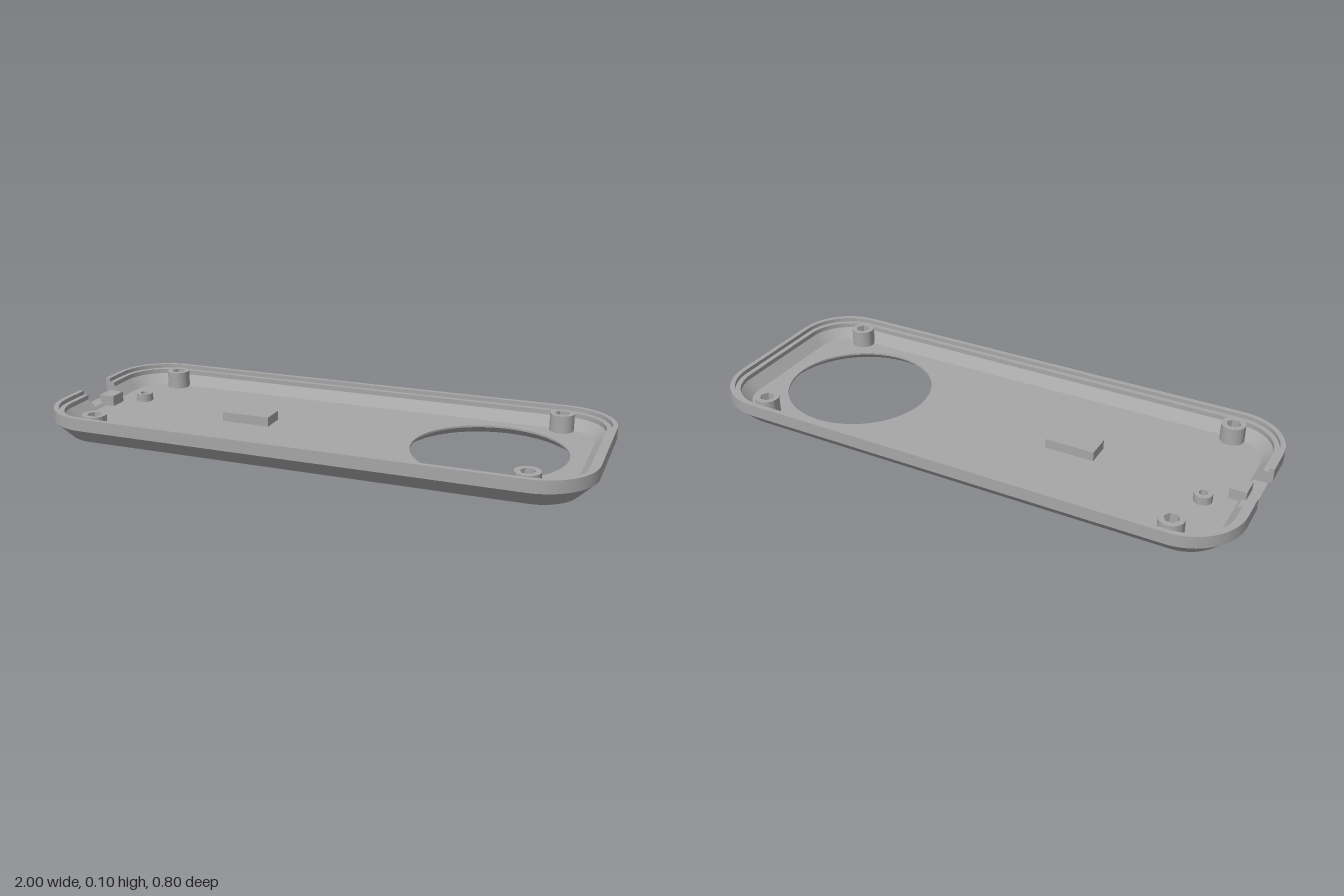
import * as THREE from 'three';
import { toCreasedNormals } from 'three/addons/utils/BufferGeometryUtils.js';

const FLOOR = 0.035, HEIGHT = 0.105, RADIUS = 0.2;
const NOTCH = { y: 0.045, z0: -0.095, z1: 0.09 };
const OPENING = { x: 0.595, z: 0 }, PIN = { x: -0.82, z: -0.09 };

// wall cross-section as [inset from the outline, y], outside to inside
const WALL = [[0.06, 0], [0, 0.06], [0, HEIGHT], [0.018, HEIGHT], [0.018, 0.09],
  [0.037, 0.09], [0.037, 0.0725], [0.0745, FLOOR]];
const SILL = [[0.06, 0], [0.015, NOTCH.y], [0.0645, NOTCH.y], [0.0745, FLOOR]];

// columns around the outline: a centre and an outward direction
const column = (cx, cz, a) => ({ cx, cz, nx: Math.cos(a), nz: Math.sin(a) });
function cornerColumns() {
  const list = [];
  [[-0.8, 0.2], [0.8, 0.2], [0.8, -0.2], [-0.8, -0.2]].forEach(([x, z], k) => {
    for (let i = 0; i <= 16; i++) list.push(column(x, z, Math.PI - (k + i / 16) * Math.PI / 2));
  });
  return list;
}
const place = (c, inset) => [c.cx + c.nx * (RADIUS - inset), c.cz + c.nz * (RADIUS - inset)];

// sweep a section along columns; each band has its own vertices so its edges stay sharp
function sweep(columns, section) {
  const pos = [], idx = [];
  for (let s = 0; s < section.length - 1; s++) {
    const base = pos.length / 3;
    columns.forEach((c, j) => {
      for (const [inset, y] of [section[s], section[s + 1]]) {
        const [x, z] = place(c, inset);
        pos.push(x, y, z);
      }
      if (j) {
        const a = base + 2 * (j - 1);
        idx.push(a, a + 2, a + 3, a, a + 3, a + 1);
      }
    });
  }
  const g = new THREE.BufferGeometry();
  g.setAttribute('position', new THREE.Float32BufferAttribute(pos, 3));
  g.setIndex(idx);
  g.computeVertexNormals();
  return g;
}

function circle(x, y, r, n) {
  return Array.from({ length: n }, (_, i) => {
    const a = i / n * Math.PI * 2;
    return new THREE.Vector2(x + r * Math.cos(a), y + r * Math.sin(a));
  });
}

// flat rounded plate with the large opening and the pin hole
function plate(inset, y, openingRadius, up) {
  const s = up ? -1 : 1;
  const shape = new THREE.Shape(cornerColumns().map(c => {
    const [x, z] = place(c, inset);
    return new THREE.Vector2(x, s * z);
  }));
  shape.holes.push(new THREE.Path(circle(OPENING.x, s * OPENING.z, openingRadius, 64)));
  shape.holes.push(new THREE.Path(circle(PIN.x, s * PIN.z, 0.015, 24)));
  return new THREE.ShapeGeometry(shape).rotateX(s * Math.PI / 2).translate(0, y, 0);
}

// upright tube standing on the floor
function tube(r, holeR, holeSides, h) {
  const shape = new THREE.Shape(circle(0, 0, r, 32));
  shape.holes.push(new THREE.Path(circle(0, 0, holeR, holeSides)));
  const g = new THREE.ExtrudeGeometry(shape, { depth: h, bevelEnabled: false });
  return toCreasedNormals(g.rotateX(-Math.PI / 2), 0.6);
}

export function createModel() {
  const model = new THREE.Group();
  const grey = new THREE.MeshStandardMaterial({ color: 0xa6a6a6, side: THREE.DoubleSide });
  grey.name = 'grey plastic';
  const add = (name, geometry, x = 0, y = 0, z = 0) => {
    const m = new THREE.Mesh(geometry, grey);
    m.name = name;
    m.position.set(x, y, z);
    model.add(m);
  };

  // rim wall, interrupted by the notch on the model's right end
  const start = column(-0.8, NOTCH.z1, Math.PI), end = column(-0.8, NOTCH.z0, Math.PI);
  add('rimWall', sweep([start, ...cornerColumns(), end], WALL));
  add('notchSill', sweep([end, start], SILL));

  // cut ends of the wall beside the notch
  const cut = [SILL[1], ...WALL.slice(1, 7), SILL[2]];
  for (const z of [NOTCH.z0, NOTCH.z1]) {
    const g = new THREE.ShapeGeometry(new THREE.Shape(cut.map(([d, y]) => new THREE.Vector2(d - 1, y))));
    if (z > 0) g.rotateY(Math.PI).scale(-1, 1, 1);
    add('notchCheek', g, 0, 0, z);
  }

  // floor and underside
  add('innerFloor', plate(0.0745, FLOOR, 0.275, true));
  add('underside', plate(0.06, 0, 0.308, false));

  // flared edge of the large opening and the bore of the pin hole
  const bore = (a, b, y0, y1, n) =>
    new THREE.CylinderGeometry(b, a, y1 - y0, n, 1, true).translate(0, (y0 + y1) / 2, 0);
  add('openingBevel', bore(0.308, 0.275, 0, 0.028, 64), OPENING.x, 0, OPENING.z);
  add('openingEdge', bore(0.275, 0.275, 0.028, FLOOR, 64), OPENING.x, 0, OPENING.z);
  add('pinBore', bore(0.015, 0.015, 0, FLOOR, 24), PIN.x, 0, PIN.z);

  // screw posts with hexagonal sockets, and the small pin guide
  for (const x of [-0.79, 0.79]) for (const z of [-0.315, 0.315]) {
    add('screwPost', tube(0.044, 0.027, 6, 0.065), x, FLOOR, z);
  }
  add('pinGuide', tube(0.032, 0.015, 24, 0.03), PIN.x, FLOOR, PIN.z);

  // blocks on the floor
  add('centreBlock', new THREE.BoxGeometry(0.185, 0.035, 0.09), -0.317, FLOOR + 0.0175, -0.005);
  add('notchBlock', new THREE.BoxGeometry(0.06, 0.04, 0.07), -0.92, FLOOR + 0.02, -0.005);
  return model;
}
